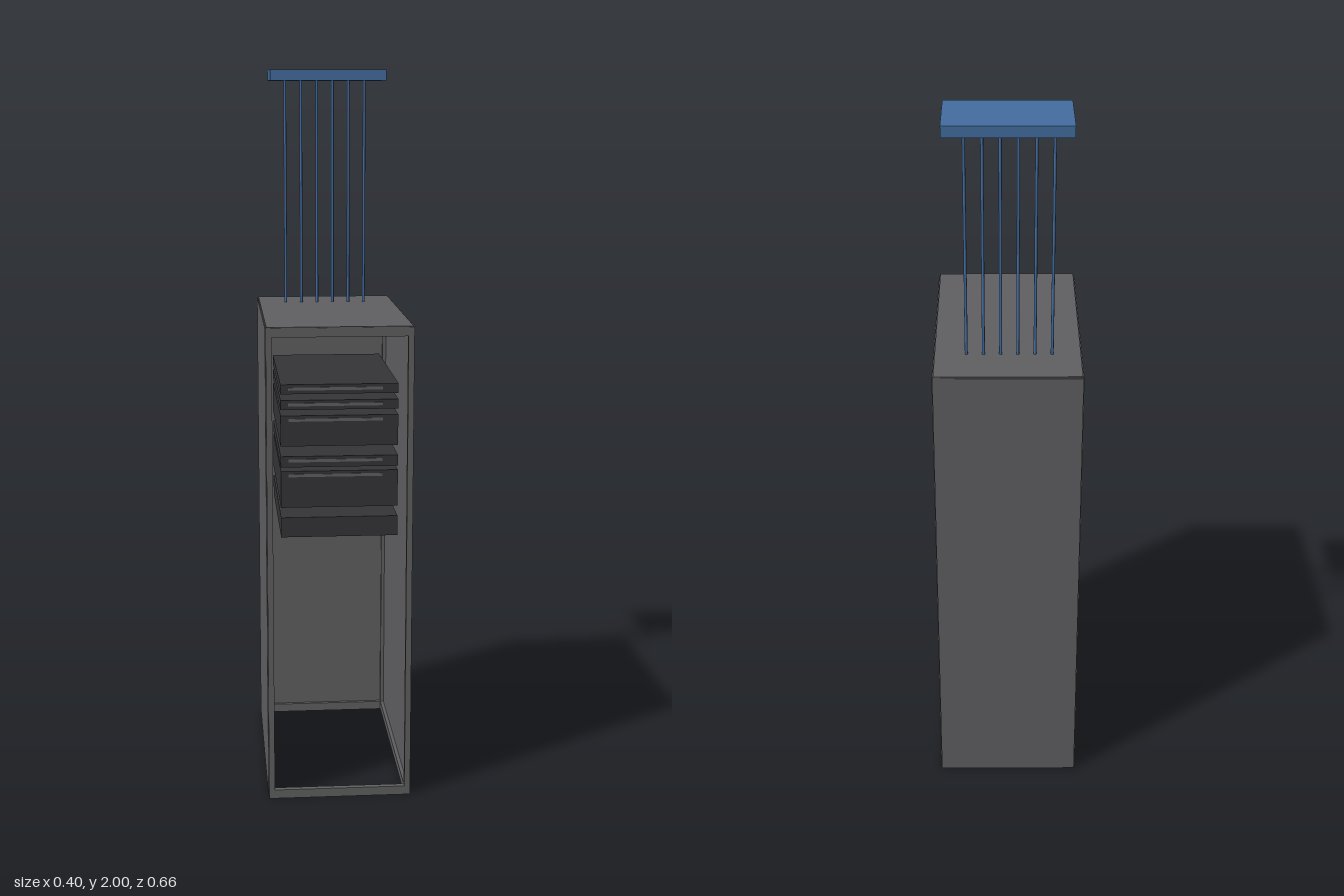
import * as THREE from 'three';

export function createModel() {
  const model = new THREE.Group();
  model.name = 'equipmentCabinet';

  const mat = (name, color) => {
    const m = new THREE.MeshStandardMaterial({ color });
    m.name = name;
    return m;
  };
  const grey = mat('cabinet grey', 0x606062);
  const dark = mat('equipment dark grey', 0x353537);
  const blue = mat('cable blue', 0x446da0);

  const group = (name) => {
    const g = new THREE.Group();
    g.name = name;
    model.add(g);
    return g;
  };
  // Box given by its minimum and maximum corners
  const box = (parent, name, material, [x0, y0, z0], [x1, y1, z1]) => {
    const mesh = new THREE.Mesh(new THREE.BoxGeometry(x1 - x0, y1 - y0, z1 - z0), material);
    mesh.position.set((x0 + x1) / 2, (y0 + y1) / 2, (z0 + z1) / 2);
    mesh.name = name;
    parent.add(mesh);
  };

  const W = 0.198, D = 0.33, H = 1.33;  // frame half width, half depth, height
  const T = 0.016, R = 0.025;           // post thickness, rail height

  // Open frame: four posts joined by rails at top and bottom
  const frame = group('frame');
  for (const sx of [-1, 1]) {
    const x0 = sx < 0 ? -W : W - T;
    for (const sz of [-1, 1]) {
      const z0 = sz < 0 ? -D : D - T;
      box(frame, 'post', grey, [x0, 0, z0], [x0 + T, H - 0.002, z0 + T]);
    }
    for (const y of [0, H - R - 0.002])
      box(frame, 'sideRail', grey, [x0, y, -D + T], [x0 + T, y + R, D - T]);
  }
  for (const sz of [-1, 1]) {
    const z0 = sz < 0 ? -D : D - T;
    for (const y of [0, H - R - 0.002])
      box(frame, 'crossRail', grey, [-W + T, y, z0], [W - T, y + R, z0 + T]);
  }

  // Panels close the sides, back and top; front and bottom stay open
  const panels = group('panels');
  for (const sx of [-1, 1]) {
    const x0 = sx < 0 ? -0.2 : 0.192;
    box(panels, 'sidePanel', grey, [x0, 0.004, -D + 0.004], [x0 + 0.008, H - 0.004, D - T]);
  }
  box(panels, 'backPanel', grey, [-W + 0.002, 0.004, -D - 0.002], [W - 0.002, H - 0.004, -D + 0.006]);
  box(panels, 'topPanel', grey, [-W + 0.002, H - 0.01, -D + 0.002], [W - 0.002, H, D - 0.002]);

  // Stacked equipment: [bottom, top, has a front strip]
  const equipment = group('equipment');
  const front = 0.305;
  const units = [
    [1.146, 1.172, true], [1.103, 1.129, true], [1.003, 1.087, true],
    [0.945, 0.975, true], [0.833, 0.934, true], [0.75, 0.805, false],
  ];
  for (const [y0, y1, strip] of units) {
    box(equipment, 'unit', dark, [-0.159, y0, front - 0.5], [0.159, y1, front]);
    if (strip)
      box(equipment, 'frontStrip', grey, [-0.138, y1 - 0.016, front - 0.001], [0.117, y1 - 0.008, front + 0.002]);
  }

  // Row of cables rising to an overhead plate
  const cables = group('cables');
  const cable = new THREE.CylinderGeometry(0.004, 0.004, 0.655, 12);
  for (let i = 0; i < 6; i++) {
    const mesh = new THREE.Mesh(cable, blue);
    mesh.name = 'cable';
    mesh.position.set(-0.119 + i * 0.046, 1.6475, -0.196);
    cables.add(mesh);
  }
  box(model, 'overheadPlate', blue, [-0.165, 1.97, -0.3], [0.165, 2, -0.1]);

  return model;
}
